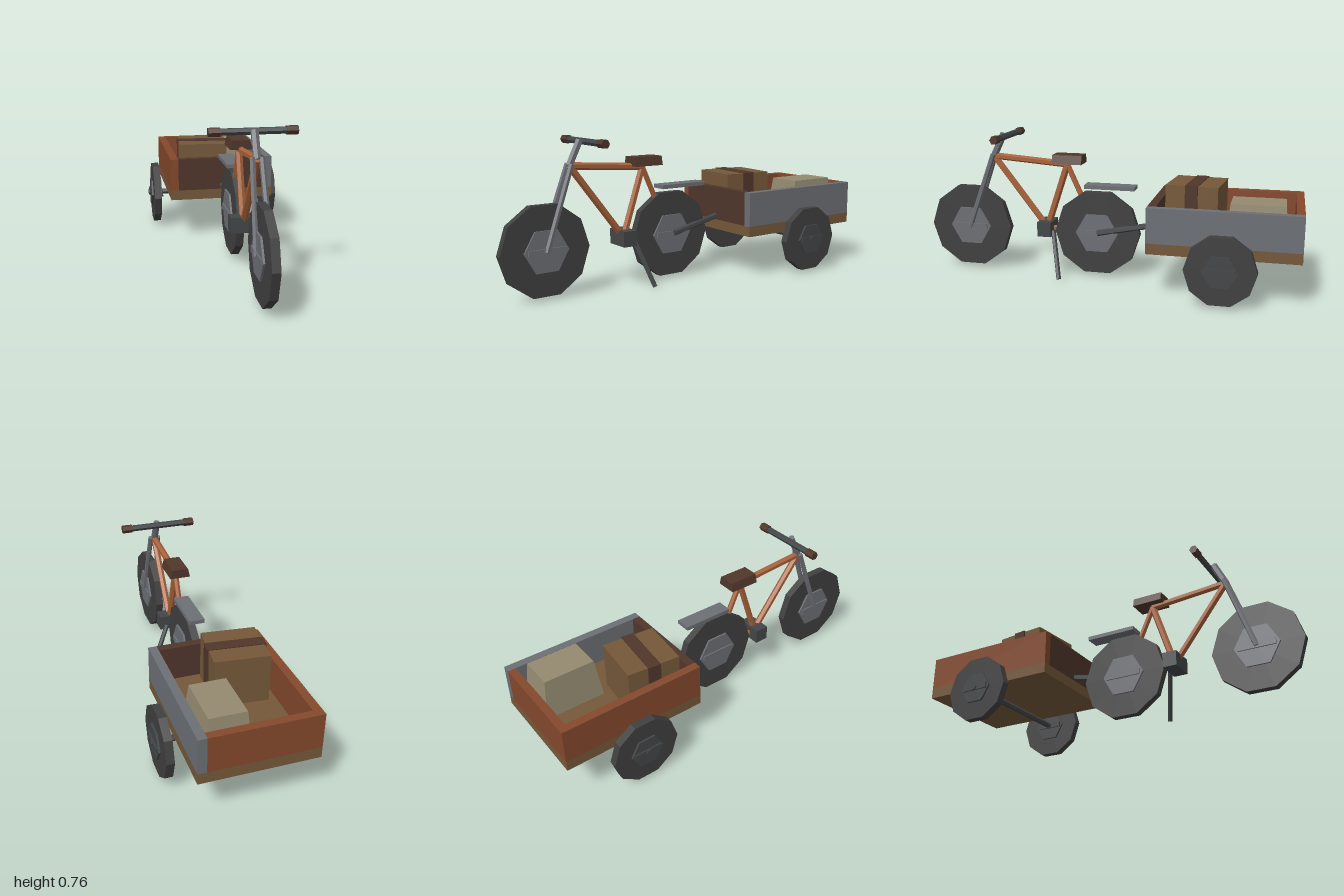
import * as THREE from 'three';

const paint = (name, color) => {
  const m = new THREE.MeshStandardMaterial({ color, flatShading: true });
  m.name = name;
  return m;
};

export function createModel() {
  const model = new THREE.Group();
  model.name = 'bicycleWithCargoTrailer';

  const copper = paint('copper', 0xa8623a);
  const rust = paint('rust', 0x84482c);
  const wood = paint('wood', 0x75583a);
  const leather = paint('darkBrown', 0x50362b);
  const canvas = paint('tan', 0x938a6f);
  const steel = paint('steelGrey', 0x6c6f74);
  const iron = paint('darkIron', 0x434648);
  const rubber = paint('rubber', 0x404040);

  const add = (name, geometry, material, x = 0, y = 0, z = 0, parent = model) => {
    const mesh = new THREE.Mesh(geometry, material);
    mesh.name = name;
    mesh.position.set(x, y, z);
    parent.add(mesh);
    return mesh;
  };
  const box = (name, material, w, h, d, x, y, z, parent) =>
    add(name, new THREE.BoxGeometry(w, h, d), material, x, y, z, parent);

  // Six-sided bar between two points
  const bar = (name, material, from, to, radius) => {
    const a = new THREE.Vector3(...from);
    const b = new THREE.Vector3(...to);
    const dir = b.clone().sub(a);
    const mesh = add(name, new THREE.CylinderGeometry(radius, radius, dir.length(), 6), material);
    mesh.position.copy(a).add(b).multiplyScalar(0.5);
    mesh.quaternion.setFromUnitVectors(new THREE.Vector3(0, 1, 0), dir.normalize());
    return mesh;
  };

  // Box whose top face is scaled in x and z
  const taperedBox = (name, material, w, h, d, sx, sz, x, y, z) => {
    const geometry = new THREE.BoxGeometry(w, h, d);
    const p = geometry.attributes.position;
    for (let i = 0; i < p.count; i++) {
      if (p.getY(i) > 0) p.setXYZ(i, p.getX(i) * sx, p.getY(i), p.getZ(i) * sz);
    }
    geometry.computeVertexNormals();
    return add(name, geometry, material, x, y, z);
  };

  // Ten-sided tyre, hexagonal hub disc and a cross bar over the hub
  const wheel = (name, x, y, z, radius, hubRadius, hubMaterial) => {
    const group = new THREE.Group();
    group.name = name;
    group.position.set(x, y, z);
    const disc = (r, width, sides) =>
      new THREE.CylinderGeometry(r, r, width, sides).rotateZ(Math.PI / 2);
    add('tyre', disc(radius, 0.04, 10), rubber, 0, 0, 0, group);
    add('hub', disc(hubRadius, 0.06, 6), hubMaterial, 0, 0, 0, group);
    box('hubBar', hubMaterial, 0.074, 0.03, hubRadius * 1.66, 0, 0, 0, group);
    model.add(group);
  };
  wheel('frontWheel', 0, 0.24, 0.77, 0.23, 0.115, steel);
  wheel('rearWheel', 0, 0.24, 0.055, 0.23, 0.115, steel);
  for (const side of [-1, 1]) {
    wheel(side > 0 ? 'leftTrailerWheel' : 'rightTrailerWheel',
      side * 0.34, 0.185, -0.625, 0.175, 0.087, iron);
  }

  // Bicycle frame
  const head = [0, 0.63, 0.63];
  const seatTop = [0, 0.6, 0.22];
  const crank = [0, 0.25, 0.335];
  const rearHub = [0, 0.24, 0.055];
  bar('topTube', copper, head, seatTop, 0.018);
  bar('downTube', copper, head, crank, 0.018);
  bar('seatTube', copper, seatTop, crank, 0.018);
  bar('seatStay', copper, seatTop, rearHub, 0.015);
  bar('chainStay', copper, crank, rearHub, 0.015);
  box('crankHousing', iron, 0.134, 0.078, 0.075, 0, 0.252, 0.335);

  // Fork, stem and handlebar
  for (const side of [-1, 1]) {
    bar('forkLeg', steel, [side * 0.021, 0.64, 0.628], [side * 0.033, 0.235, 0.772], 0.014);
    bar('grip', leather, [side * 0.15, 0.742, 0.548], [side * 0.205, 0.742, 0.548], 0.022);
  }
  bar('stem', steel, [0, 0.63, 0.63], [0, 0.75, 0.572], 0.019);
  bar('handlebar', iron, [-0.17, 0.742, 0.548], [0.17, 0.742, 0.548], 0.017);

  // Saddle, rear rack and kickstand
  taperedBox('saddle', leather, 0.108, 0.046, 0.16, 0.8, 1, 0, 0.63, 0.21);
  box('rearRack', steel, 0.08, 0.02, 0.27, 0, 0.49, -0.015);
  bar('kickstand', iron, [0.03, 0.24, 0.293], [0.135, 0.007, 0.235], 0.013);

  // Trailer hitch and axle
  bar('hitchBar', iron, [0.04, 0.245, 0.05], [0, 0.3, -0.265], 0.016);
  bar('trailerAxle', iron, [-0.383, 0.185, -0.625], [0.383, 0.185, -0.625], 0.016);

  // Trailer bed with mismatched walls
  box('trailerFloor', wood, 0.57, 0.054, 0.745, 0, 0.252, -0.6275);
  box('leftWall', steel, 0.042, 0.177, 0.745, 0.264, 0.367, -0.6275);
  box('rightWall', rust, 0.042, 0.177, 0.745, -0.264, 0.367, -0.6275);
  box('frontWall', leather, 0.486, 0.177, 0.042, 0, 0.367, -0.276);
  box('backWall', rust, 0.486, 0.177, 0.04, 0, 0.367, -0.98);

  // Cargo: a strapped crate turned slightly, and a tapered bundle
  const crate = new THREE.Group();
  crate.name = 'strappedCrate';
  crate.position.set(-0.083, 0.4, -0.458);
  crate.rotation.y = -0.1;
  box('crate', wood, 0.27, 0.248, 0.27, 0, 0, 0, crate);
  box('strap', leather, 0.286, 0.254, 0.065, 0, 0.001, 0, crate);
  model.add(crate);
  taperedBox('canvasBundle', canvas, 0.22, 0.202, 0.31, 0.8, 0.84, 0.122, 0.38, -0.782);

  return model;
}
